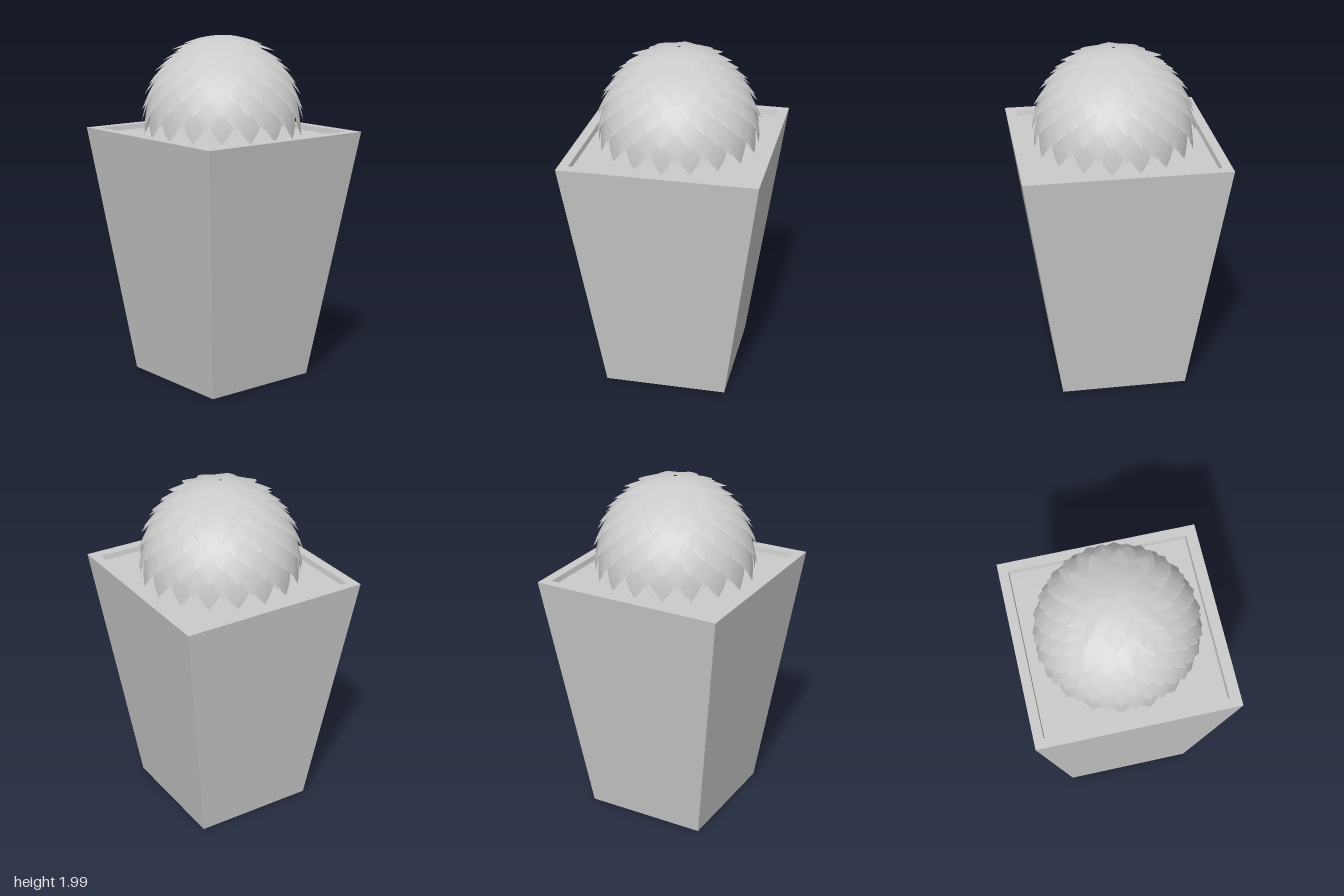
import * as THREE from 'three';

const grey = new THREE.MeshStandardMaterial({ color: 0xcccccc, flatShading: true });
const leafGrey = new THREE.MeshStandardMaterial({ color: 0xcccccc, side: THREE.DoubleSide });

// Skin through rectangular rings [y, x0, x1, z0, z1], closed at both ends
function rectLoft(rings) {
  const pos = [], idx = [], n = rings.length;
  for (const [y, x0, x1, z0, z1] of rings)
    pos.push(x0, y, z1, x1, y, z1, x1, y, z0, x0, y, z0);
  for (let r = 0; r < n - 1; r++)
    for (let i = 0; i < 4; i++) {
      const a = r * 4 + i, b = r * 4 + (i + 1) % 4;
      idx.push(a, b, b + 4, a, b + 4, a + 4);
    }
  const e = (n - 1) * 4;
  idx.push(0, 2, 1, 0, 3, 2, e, e + 1, e + 2, e, e + 2, e + 3);
  const g = new THREE.BufferGeometry();
  g.setAttribute('position', new THREE.Float32BufferAttribute(pos, 3));
  g.setIndex(idx);
  const flat = g.toNonIndexed();
  flat.computeVertexNormals();
  return flat;
}

// One pointed leaf lying on a sphere of radius R, facing +z, from polar angle a to b
function leafGeometry(R, a, b, halfWidth, lift) {
  const widths = [0.25, 0.62, 0.9, 1, 0.88, 0.55, 0.03];
  const pos = [], idx = [], last = widths.length - 1;
  widths.forEach((w, i) => {
    const t = i / last, th = THREE.MathUtils.degToRad(a + (b - a) * t);
    for (const u of [-1, 0, 1]) {
      const r = R + lift * t * t - 0.012 * w * Math.abs(u);
      pos.push(u * w * halfWidth, r * Math.cos(th), r * Math.sin(th));
    }
    if (i < last)
      for (let j = 0; j < 2; j++) {
        const k = i * 3 + j;
        idx.push(k, k + 3, k + 1, k + 1, k + 3, k + 4);
      }
  });
  const g = new THREE.BufferGeometry();
  g.setAttribute('position', new THREE.Float32BufferAttribute(pos, 3));
  g.setIndex(idx);
  g.computeVertexNormals();
  return g;
}

export function createModel() {
  const model = new THREE.Group();

  // Tapered square planter with a rim and a shallow recess
  const planter = new THREE.Mesh(rectLoft([
    [0, -0.36, 0.35, -0.375, 0.355],
    [1.45, -0.555, 0.55, -0.57, 0.57],
    [1.45, -0.5, 0.495, -0.515, 0.508],
    [1.42, -0.495, 0.49, -0.51, 0.503],
  ]), grey);
  planter.name = 'planter';
  model.add(planter);

  // Domed shrub: staggered rows of overlapping leaves
  const shrub = new THREE.Group();
  shrub.name = 'shrub';
  shrub.position.y = 1.53;
  const counts = [8, 12, 16, 18, 18, 18, 18, 18, 18];
  counts.forEach((count, row) => {
    const tip = 29 + row * 9.2;
    const R = row === 0 ? 0.46 : row === 1 ? 0.448 : 0.436;
    const geo = leafGeometry(R, Math.max(1, tip - 30), tip, 0.068, row === 0 ? 0.008 : 0.028);
    const ring = new THREE.Group();
    ring.name = `leafRow${row + 1}`;
    for (let i = 0; i < count; i++) {
      const leaf = new THREE.Mesh(geo, leafGrey);
      leaf.name = 'leaf';
      leaf.rotation.y = ((i + (row % 2) / 2) / count) * Math.PI * 2;
      ring.add(leaf);
    }
    shrub.add(ring);
  });
  model.add(shrub);

  return model;
}
